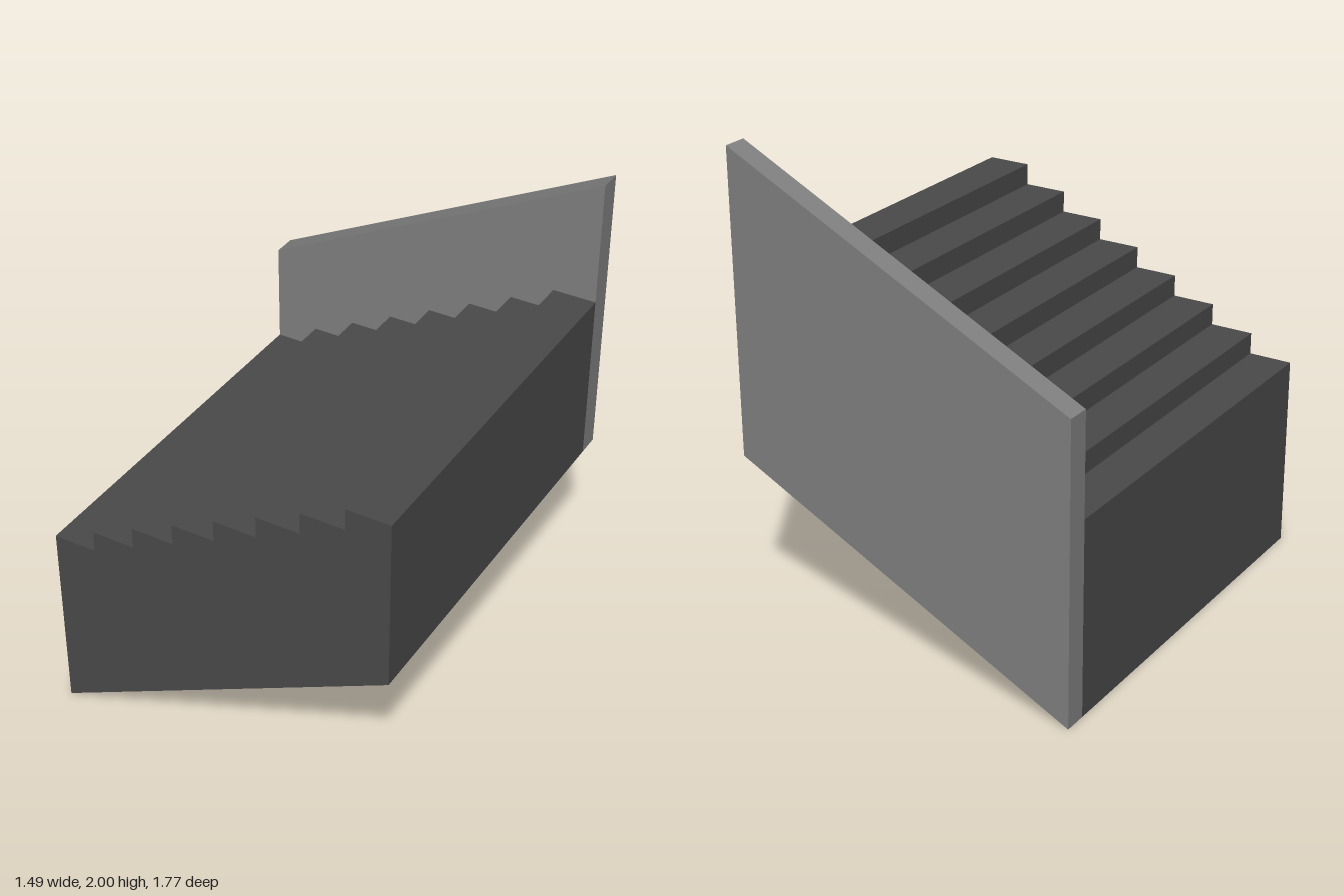
import * as THREE from 'three';

const HALF = 0.745;    // half the run of the flight
const RISE = 0.735;    // climb of the sloped edges
const FRONT = 0.885, WALL_Z = -0.785, BACK = -0.885;
const STEPS = 8, FIRST_TOP = 0.83, LAST_TOP = 1.472;

// Side profile in x/y, extruded along z between two planes
function slab(name, points, z0, z1, color) {
  const shape = new THREE.Shape(points.map(([x, y]) => new THREE.Vector2(x, y)));
  const geometry = new THREE.ExtrudeGeometry(shape, { depth: z1 - z0, bevelEnabled: false });
  geometry.translate(0, 0, z0);
  const mesh = new THREE.Mesh(geometry, new THREE.MeshStandardMaterial({ color, flatShading: true }));
  mesh.name = name;
  return mesh;
}

export function createModel() {
  const group = new THREE.Group();
  group.name = 'staircase';

  // Flight: sloped underside, then the treads from the top step down
  const profile = [[-HALF, 0], [HALF, RISE]];
  const tread = (2 * HALF) / STEPS;
  const riser = (LAST_TOP - FIRST_TOP) / (STEPS - 1);
  for (let i = STEPS - 1; i >= 0; i--) {
    const x = -HALF + i * tread, y = FIRST_TOP + i * riser;
    profile.push([x + tread, y], [x, y]);
  }
  group.add(slab('steps', profile, WALL_Z, FRONT, 0x4a4a4a));

  // Side wall: parallelogram following the slope
  const wall = [[-HALF, 0], [HALF, RISE], [HALF, 2], [-HALF, 2 - RISE]];
  group.add(slab('sideWall', wall, BACK, WALL_Z, 0x808080));

  return group;
}
